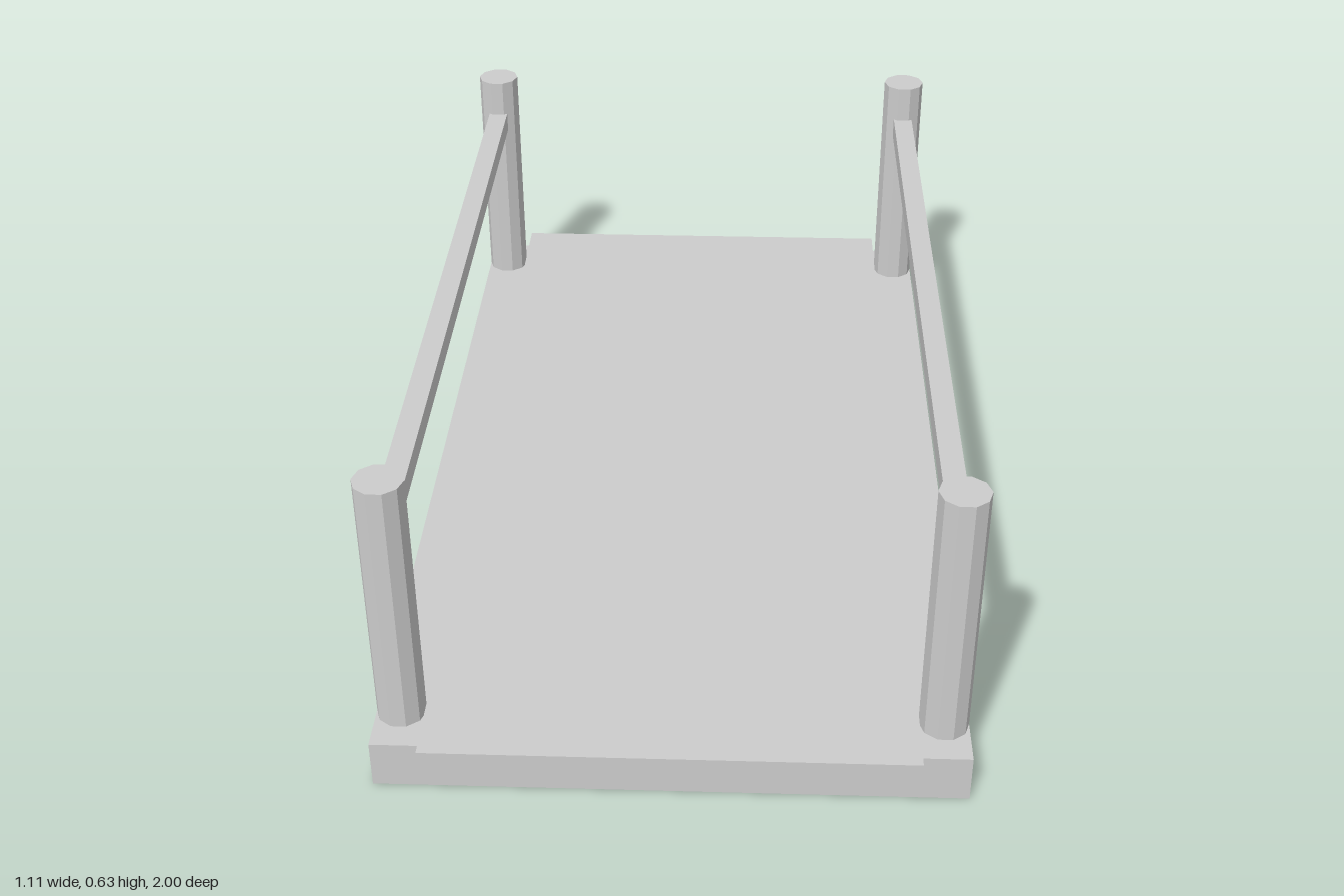
import * as THREE from 'three';

export function createModel() {
  const model = new THREE.Group();
  model.name = 'railedPlatform';
  const grey = new THREE.MeshStandardMaterial({ color: 0xcccccc, flatShading: true });
  grey.name = 'lightGrey';

  const add = (name, geometry, x, y, z) => {
    const mesh = new THREE.Mesh(geometry, grey);
    mesh.name = name;
    mesh.position.set(x, y, z);
    model.add(mesh);
  };

  // Slab with a thin deck that overhangs both ends
  const slabTop = 0.097, deckTop = 0.115;
  add('baseSlab', new THREE.BoxGeometry(1.106, slabTop, 1.926), 0, slabTop / 2, 0);
  add('deck', new THREE.BoxGeometry(0.918, deckTop - slabTop, 2), 0, (slabTop + deckTop) / 2, 0);

  // Ten-sided posts and a handrail along each side
  const postTop = 0.627, postX = 0.506, postZ = 0.868;
  const post = new THREE.CylinderGeometry(0.047, 0.047, postTop - slabTop, 10);
  post.rotateY(Math.PI / 2);
  const rail = new THREE.BoxGeometry(0.044, 0.044, 1.66);
  for (const side of [1, -1]) {
    const label = side > 0 ? 'left' : 'right';
    add(label + 'Rail', rail, side * postX, 0.522, 0);
    for (const end of [1, -1]) {
      add(label + (end > 0 ? 'FrontPost' : 'BackPost'), post,
        side * postX, (slabTop + postTop) / 2, end * postZ);
    }
  }
  return model;
}
